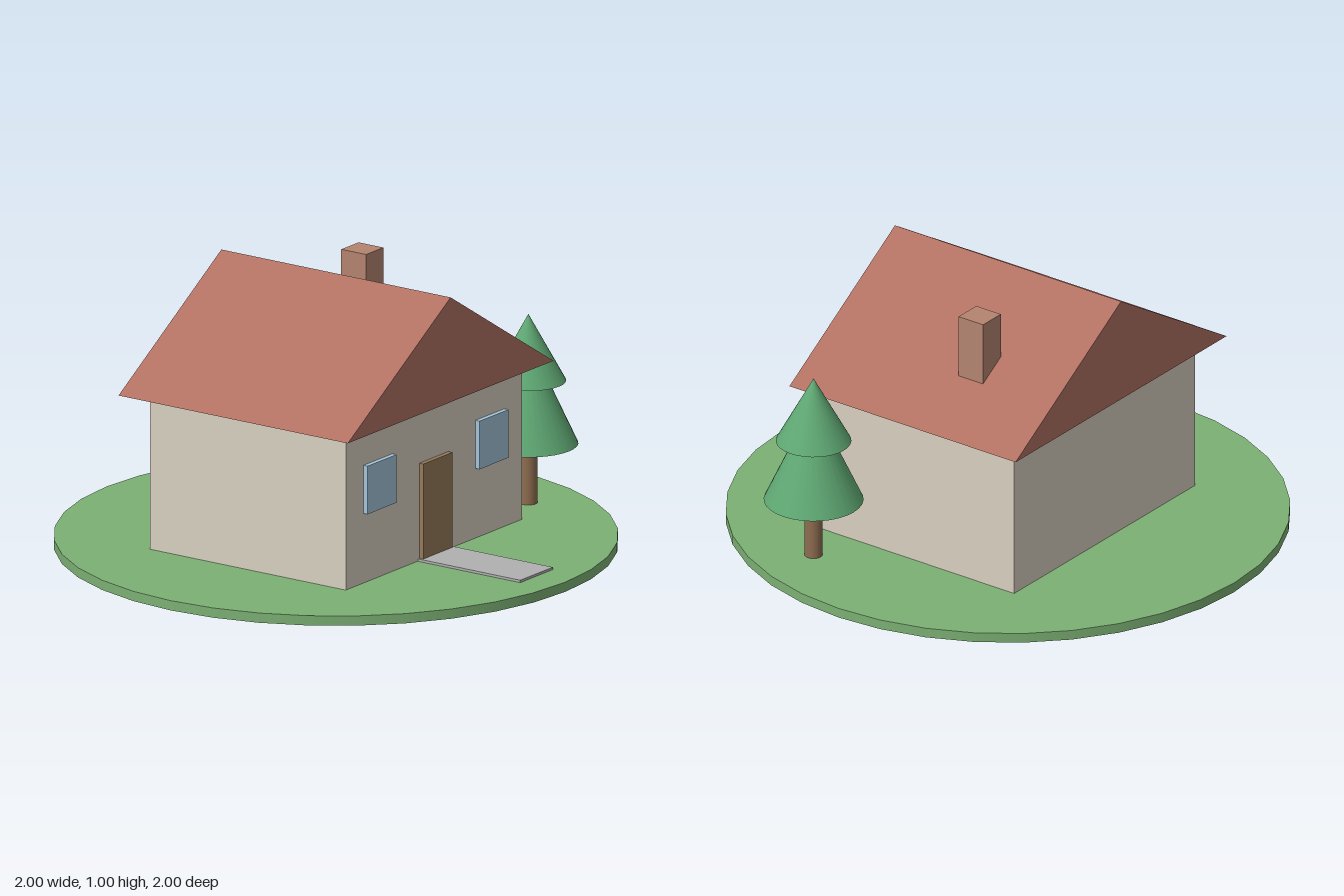
import * as THREE from 'three';

const mat = (color) => new THREE.MeshStandardMaterial({ color });

function add(parent, name, geometry, material, x, y, z) {
  const mesh = new THREE.Mesh(geometry, material);
  mesh.name = name;
  mesh.position.set(x, y, z);
  parent.add(mesh);
  return mesh;
}

// Box given by its size, centre x/z and the height of its underside
function addBox(parent, name, [w, h, d], material, x, bottom, z) {
  return add(parent, name, new THREE.BoxGeometry(w, h, d), material, x, bottom + h / 2, z);
}

export function createModel() {
  const model = new THREE.Group();
  model.name = 'cottage';
  const groundTop = 0.036;
  const eaves = 0.613;
  const wallFront = 0.427;

  // Round lawn
  add(model, 'lawn', new THREE.CylinderGeometry(1, 1, groundTop, 36), mat(0x7cb074), 0, groundTop / 2, 0);

  // House body
  const house = new THREE.Group();
  house.name = 'house';
  model.add(house);
  addBox(house, 'walls', [1.066, eaves - groundTop, wallFront * 2], mat(0xd8d0c0), 0, groundTop, 0);

  // Solid gable roof with overhang
  const gable = new THREE.Shape();
  gable.moveTo(-0.622, 0);
  gable.lineTo(0.622, 0);
  gable.lineTo(0, 1 - eaves);
  gable.closePath();
  const roof = new THREE.ExtrudeGeometry(gable, { depth: 1, bevelEnabled: false });
  add(house, 'roof', roof, mat(0xb07062), 0, eaves, -0.5);

  // Chimney sunk into the right-hand slope
  addBox(house, 'chimney', [0.105, 0.27, 0.108], mat(0xb48470), 0.356, 0.71, -0.142);

  // Door and windows
  addBox(house, 'door', [0.177, 0.36, 0.026], mat(0x967a5a), 0, groundTop, wallFront + 0.005);
  const glass = mat(0xa4c4da);
  for (const side of [-1, 1]) {
    addBox(house, side > 0 ? 'leftWindow' : 'rightWindow', [0.175, 0.178, 0.026], glass,
      side * 0.339, 0.293, wallFront + 0.005);
  }

  // Path to the door
  addBox(model, 'path', [0.197, 0.009, 0.445], mat(0xb2b0b2), 0, groundTop, 0.652);

  // Fir tree: trunk and two cones
  const tree = new THREE.Group();
  tree.name = 'tree';
  tree.position.set(0.713, 0, 0.325);
  model.add(tree);
  add(tree, 'trunk', new THREE.CylinderGeometry(0.032, 0.032, 0.25, 24), mat(0x8e6c50), 0, groundTop + 0.125, 0);
  const needles = mat(0x5fa873);
  for (const [name, radius, bottom, top] of [
    ['lowerBranches', 0.177, 0.256, 0.64],
    ['upperBranches', 0.134, 0.488, 0.733],
  ]) {
    add(tree, name, new THREE.ConeGeometry(radius, top - bottom, 32), needles, 0, (bottom + top) / 2, 0);
  }

  return model;
}
